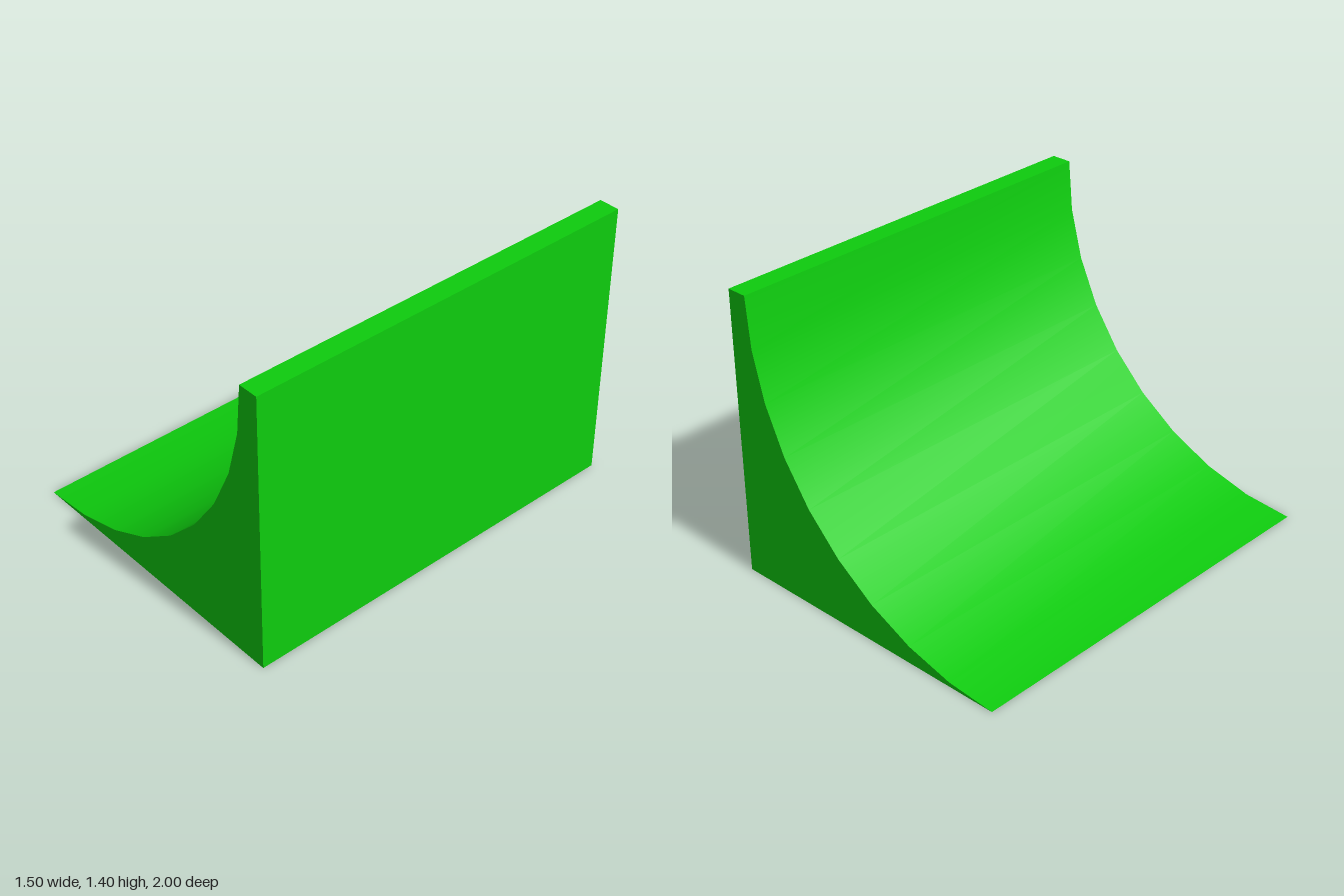
import * as THREE from 'three';
import { toCreasedNormals } from 'three/addons/utils/BufferGeometryUtils.js';

const HALF_WIDTH = 0.75, RADIUS = 1.4, LENGTH = 2, SEGMENTS = 9;

// Side profile: a concave quarter circle rising to a narrow flat deck
function rampProfile() {
  const points = [];
  for (let i = 0; i <= SEGMENTS; i++) {
    const a = (i / SEGMENTS) * Math.PI / 2;
    points.push(new THREE.Vector2(-HALF_WIDTH + RADIUS * Math.sin(a), RADIUS * (1 - Math.cos(a))));
  }
  points.push(new THREE.Vector2(HALF_WIDTH, RADIUS), new THREE.Vector2(HALF_WIDTH, 0));
  return new THREE.Shape(points);
}

export function createModel() {
  const group = new THREE.Group();
  group.name = 'quarterPipe';

  // Solid ramp, smooth along the curve and sharp at its edges
  const solid = new THREE.ExtrudeGeometry(rampProfile(), { depth: LENGTH, bevelEnabled: false });
  solid.translate(0, 0, -LENGTH / 2);
  const material = new THREE.MeshStandardMaterial({ color: 0x0ecc0e });
  const ramp = new THREE.Mesh(toCreasedNormals(solid, Math.PI / 6), material);
  ramp.name = 'curvedRamp';
  group.add(ramp);
  return group;
}
